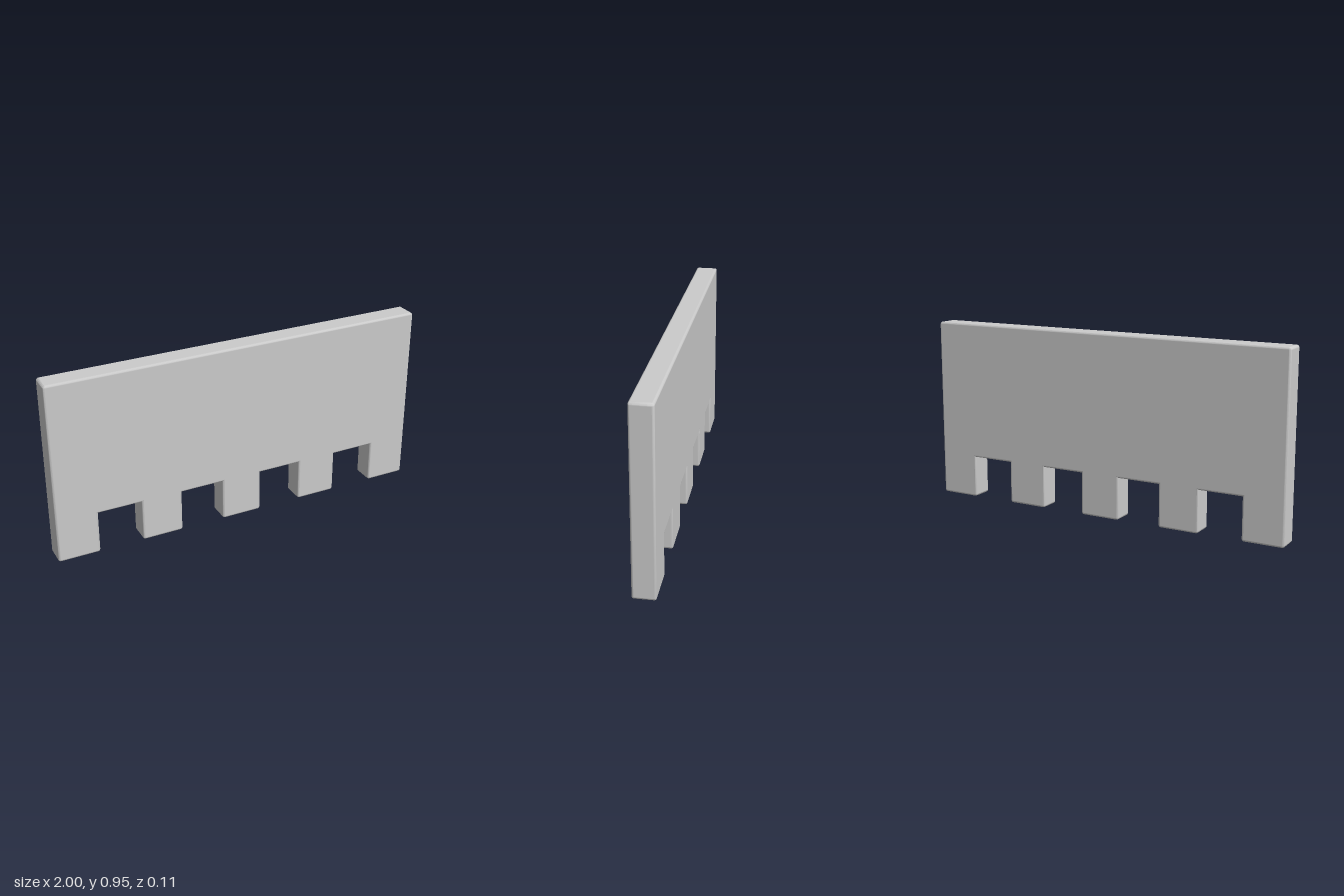
import * as THREE from 'three';
import { toCreasedNormals } from 'three/addons/utils/BufferGeometryUtils.js';

const HEIGHT = 0.95, THICK = 0.114, NOTCH_TOP = 0.222;
const TEETH = 5, TOOTH = 0.217, GAP = (2 - TEETH * TOOTH) / (TEETH - 1);
const B = 0.011;  // edge rounding
const R = 0.003;  // corner radius of the contour before the bevel widens it

// Outline shrunk by the bevel size, counter-clockwise; convex corners are softened
function combShape() {
  const pts = [];
  for (let i = 0; i < TEETH; i++) {
    const l = -1 + i * (TOOTH + GAP) + B, r = l + TOOTH - 2 * B;
    const first = i === 0, last = i === TEETH - 1;
    if (!first) pts.push([l, NOTCH_TOP + B, false]);
    pts.push([l, B, true], [r, B, true]);
    if (!last) pts.push([r, NOTCH_TOP + B, false]);
  }
  pts.push([1 - B, HEIGHT - B, true], [-1 + B, HEIGHT - B, true]);

  const shape = new THREE.Shape();
  const toward = (a, b) => {
    const d = Math.hypot(b[0] - a[0], b[1] - a[1]);
    return [a[0] + (b[0] - a[0]) * R / d, a[1] + (b[1] - a[1]) * R / d];
  };
  pts.forEach((p, i) => {
    const prev = pts[(i + pts.length - 1) % pts.length], next = pts[(i + 1) % pts.length];
    const start = p[2] ? toward(p, prev) : p;
    if (i === 0) shape.moveTo(start[0], start[1]);
    else shape.lineTo(start[0], start[1]);
    if (p[2]) shape.quadraticCurveTo(p[0], p[1], ...toward(p, next));
  });
  shape.closePath();
  return shape;
}

// Smooth the rounded edges while the large faces stay perfectly flat
function smoothBevels(source) {
  const geo = toCreasedNormals(source, 0.6);
  const pos = geo.attributes.position, nor = geo.attributes.normal;
  const tri = new THREE.Triangle(), n = new THREE.Vector3();
  for (let i = 0; i < pos.count; i += 3) {
    tri.setFromAttributeAndIndices(pos, i, i + 1, i + 2);
    tri.getNormal(n);
    if (Math.max(Math.abs(n.x), Math.abs(n.y), Math.abs(n.z)) < 0.9999) continue;
    for (let k = 0; k < 3; k++) nor.setXYZ(i + k, n.x, n.y, n.z);
  }
  return geo;
}

export function createModel() {
  const group = new THREE.Group();
  group.name = 'notchedPanel';

  // Upright slab with five square teeth along the bottom
  const depth = THICK - 2 * B;
  const geo = new THREE.ExtrudeGeometry(combShape(), {
    depth, curveSegments: 4, bevelEnabled: true,
    bevelThickness: B, bevelSize: B, bevelSegments: 5,
  });
  geo.translate(0, 0, -depth / 2);
  const panel = new THREE.Mesh(smoothBevels(geo), new THREE.MeshStandardMaterial({ color: 0xcccccc }));
  panel.name = 'toothedPanel';
  group.add(panel);
  return group;
}
